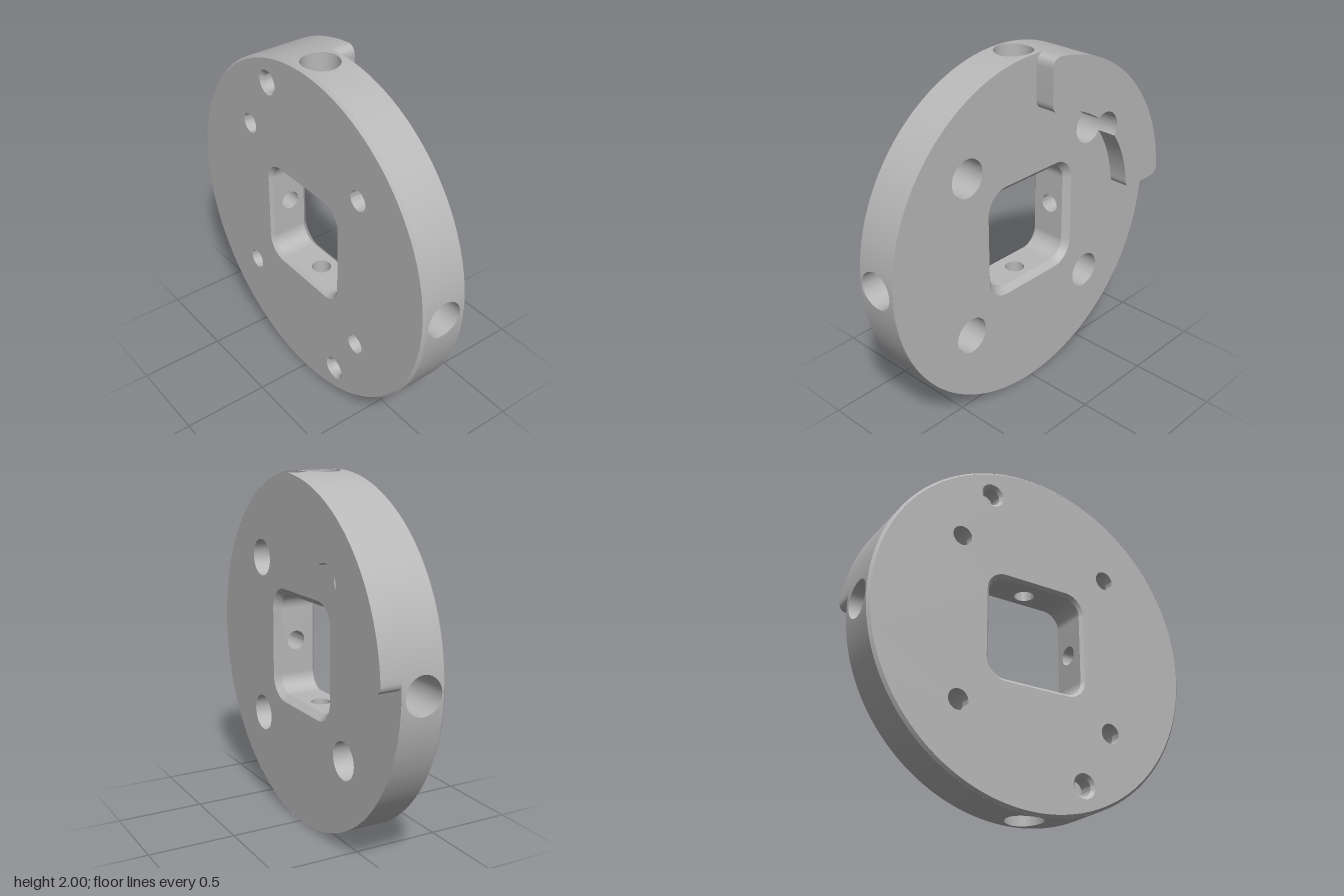
import * as THREE from 'three';
import { toCreasedNormals } from 'three/addons/utils/BufferGeometryUtils.js';

const BACK = -0.075, FRONT = 0.185, RIM = 0.17, TAB_BACK = -0.19;
const BORE_Z = 0.055, BORE_R = 0.105, PIN_R = 0.055;
const HALF = 0.297, CORNER = 0.1;            // square window
const BOLT = 0.475, BOLT_R = 0.058, HEAD_R = 0.107;
const DOWELS = [[-0.29, 0.8], [0.29, -0.8]];
const BOLTS = [[1, 1], [-1, 1], [-1, -1], [1, -1]].map(([x, y]) => [x * BOLT, y * BOLT]);

const circle = (x, y, r) => new THREE.Path().absarc(x, y, r, 0, Math.PI * 2, false);

// Rounded square outline, centred on the axis
function roundedSquare(half, r) {
  const path = new THREE.Path(), c = half - r;
  [[1, 1], [-1, 1], [-1, -1], [1, -1]].forEach(([x, y], k) =>
    path.absarc(x * c, y * c, r, k * Math.PI / 2, (k + 1) * Math.PI / 2, false));
  return path;
}

// Surface of revolution about z from [radius, z] points
function turned(points) {
  const g = new THREE.LatheGeometry(points.map(([r, z]) => new THREE.Vector2(r, z)), 48);
  return toCreasedNormals(g, 0.5);
}

// Strip joining two closed outlines at different z
function loft(a, za, b, zb) {
  const n = a.length, pos = [], index = [];
  for (let i = 0; i < n; i++) {
    pos.push(a[i].x, a[i].y, za, b[i].x, b[i].y, zb);
    const p = 2 * i, q = 2 * ((i + 1) % n);
    index.push(p, p + 1, q, q, p + 1, q + 1);
  }
  const g = new THREE.BufferGeometry();
  g.setAttribute('position', new THREE.Float32BufferAttribute(pos, 3));
  g.setIndex(index);
  return toCreasedNormals(g, 0.5);
}

// Rim patch around a radial bore: circle blended out to a rectangle, bent on the cylinder
function rimPatch(w) {
  const g = new THREE.PlaneGeometry(1, 1, 48, 5);
  const { position: p, normal: n, uv } = g.attributes;
  const z0 = BACK - BORE_Z, z1 = RIM - BORE_Z;
  const corners = [[w, z0], [w, z1], [-w, z1], [-w, z0]];
  for (let i = 0; i < p.count; i++) {
    const s = uv.getX(i) * 4, t = uv.getY(i);
    const k = Math.floor(s + 1e-6), f = s - k;
    const a = corners[k % 4], b = corners[(k + 1) % 4];
    const rx = a[0] + (b[0] - a[0]) * f, rz = a[1] + (b[1] - a[1]) * f;
    const ang = Math.atan2(rz, rx);
    const x = BORE_R * Math.cos(ang) * (1 - t) + rx * t;
    const z = BORE_R * Math.sin(ang) * (1 - t) + rz * t;
    const y = Math.sqrt(1 - x * x);
    p.setXYZ(i, x, y, z + BORE_Z);
    n.setXYZ(i, x, y, 0);
  }
  return g;
}

// Stepped radial bore along y, its mouth trimmed to the round rim
function radialBore() {
  const g = turned([[PIN_R, HALF], [PIN_R, 0.6], [BORE_R, 0.6], [BORE_R, 1]]);
  const p = g.attributes.position;
  for (let i = 0; i < p.count; i++)
    if (p.getY(i) > 0.99) p.setY(i, Math.sqrt(1 - p.getX(i) ** 2));
  return g.translate(0, 0, BORE_Z);
}

// Raised quarter-ring pad with rounded ends and a notch around one bolt hole
function tabGeometry() {
  const rad = THREE.MathUtils.degToRad, e = 0.033, ri = 0.7;
  const at = (r, d) => [r * Math.cos(rad(d)), r * Math.sin(rad(d))];
  const d = Math.hypot(BOLT, BOLT);
  const phi = Math.acos((d * d + ri * ri - HEAD_R ** 2) / (2 * d * ri));
  const notch = Math.atan2(ri * Math.sin(phi), ri * Math.cos(phi) - d);
  const mid = rad(135);
  const s = new THREE.Shape();
  s.absarc(0, 0, 1, rad(95), rad(175), false);
  s.quadraticCurveTo(-0.999, e, -0.94, e);
  s.lineTo(-0.755, e);
  s.quadraticCurveTo(-ri, e, ...at(ri, 173));
  s.absarc(0, 0, ri, rad(173), mid + phi, true);
  s.absarc(-BOLT, BOLT, HEAD_R, mid + notch, mid - notch, true);
  s.absarc(0, 0, ri, mid - phi, rad(97), true);
  s.quadraticCurveTo(-e, ri, -e, 0.755);
  s.lineTo(-e, 0.94);
  s.quadraticCurveTo(-e, 0.999, ...at(1, 95));
  const g = new THREE.ExtrudeGeometry(s, { depth: BACK - TAB_BACK, bevelEnabled: false, curveSegments: 32 });
  return toCreasedNormals(g.translate(0, 0, TAB_BACK), 0.5);
}

export function createModel() {
  const model = new THREE.Group();
  model.name = 'mountingFlange';
  const body = new THREE.Group();
  body.name = 'flangeBody';
  body.position.y = 1;
  model.add(body);

  const steel = new THREE.MeshStandardMaterial({ color: 0xb8b8b8, side: THREE.DoubleSide });
  steel.name = 'plain grey metal';
  const add = (name, geometry) => {
    const mesh = new THREE.Mesh(geometry, steel);
    mesh.name = name;
    body.add(mesh);
    return mesh;
  };

  // Flat faces with their openings
  const frontShape = new THREE.Shape().absarc(0, 0, 0.985, 0, Math.PI * 2, false);
  frontShape.holes.push(roundedSquare(0.315, 0.118),
    ...BOLTS.map(([x, y]) => circle(x, y, BOLT_R)),
    ...DOWELS.map(([x, y]) => circle(x, y, 0.07)));
  add('frontFace', new THREE.ShapeGeometry(frontShape, 48).translate(0, 0, FRONT));

  const backShape = new THREE.Shape().absarc(0, 0, 1, 0, Math.PI * 2, false);
  backShape.holes.push(roundedSquare(0.332, 0.135),
    ...BOLTS.map(([x, y]) => circle(x, y, HEAD_R)));
  add('backFace', new THREE.ShapeGeometry(backShape, 48).rotateY(Math.PI).scale(-1, 1, 1)
    .translate(0, 0, BACK));
  const back = body.getObjectByName('backFace').geometry;
  back.index.array.reverse();               // mirrored, so restore the outward order
  back.computeVertexNormals();

  // Front edge chamfer
  add('rimChamfer', new THREE.CylinderGeometry(0.985, 1, FRONT - RIM, 128, 1, true)
    .rotateX(Math.PI / 2).translate(0, 0, (FRONT + RIM) / 2));

  // Rim, radial bores and window walls, repeated on four sides
  const gap = 0.15, bottom = BACK + 0.035, top = FRONT - 0.018;
  for (let k = 0; k < 4; k++) {
    const turn = k * Math.PI / 2;
    add('rimWall', new THREE.CylinderGeometry(1, 1, RIM - BACK, 32, 1, true, gap, Math.PI / 2 - 2 * gap)
      .rotateX(Math.PI / 2).translate(0, 0, (RIM + BACK) / 2)).rotation.z = turn;
    add('rimAroundBore', rimPatch(Math.sin(gap))).rotation.z = turn;
    add('radialBore', radialBore()).rotation.z = turn;

    const c = HALF - CORNER;
    const panel = new THREE.Shape();
    panel.moveTo(-c, bottom).lineTo(c, bottom).lineTo(c, top).lineTo(-c, top).closePath();
    panel.holes.push(circle(0, BORE_Z, PIN_R));
    add('windowWall', new THREE.ShapeGeometry(panel, 24)
      .rotateX(Math.PI / 2).translate(0, HALF, 0)).rotation.z = turn;
    add('windowCorner', new THREE.CylinderGeometry(CORNER, CORNER, top - bottom, 12, 1, true, Math.PI / 2, Math.PI / 2)
      .rotateX(Math.PI / 2).translate(c, c, (top + bottom) / 2)).rotation.z = turn;
  }

  // Window chamfers, shallow in front and deeper behind
  const inner = roundedSquare(HALF, CORNER).getPoints(12);
  add('windowFrontChamfer', loft(inner, top, roundedSquare(0.315, 0.118).getPoints(12), FRONT));
  add('windowBackChamfer', loft(roundedSquare(0.332, 0.135).getPoints(12), BACK, inner, bottom));

  // Bolt holes, counterbored from the back
  for (const [x, y] of BOLTS)
    add('boltHole', turned([[HEAD_R, BACK], [HEAD_R, 0.125], [BOLT_R, 0.125], [BOLT_R, FRONT]])
      .rotateX(Math.PI / 2).translate(x, y, 0));

  // Blind dowel holes with chamfered mouths
  for (const [x, y] of DOWELS)
    add('dowelHole', turned([[0, 0.085], [0.052, 0.085], [0.052, 0.167], [0.07, FRONT]])
      .rotateX(Math.PI / 2).translate(x, y, 0));

  add('raisedTab', tabGeometry());
  return model;
}
